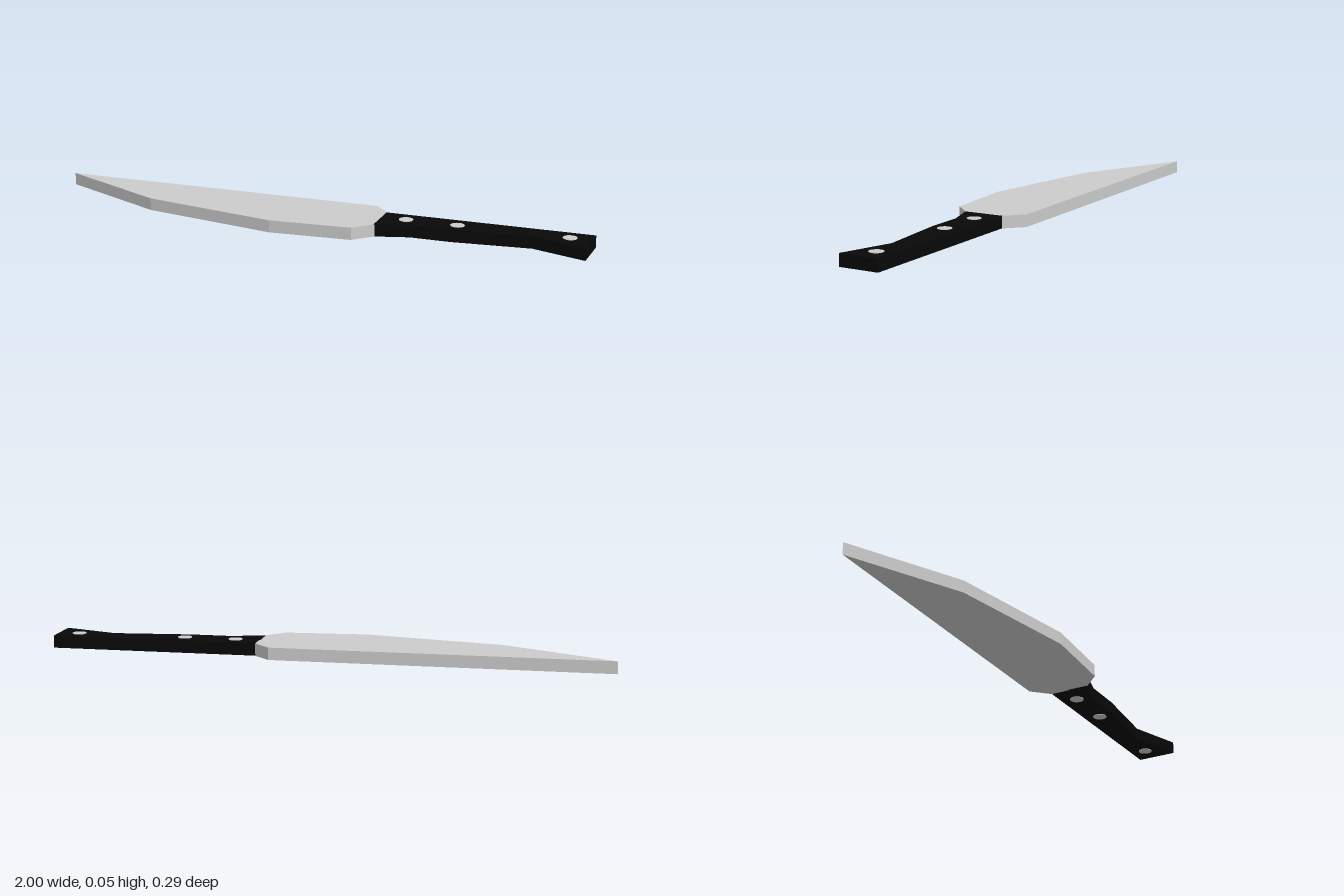
import * as THREE from 'three';

// Flat plate lying in the XZ plane, from an [x, z] outline
function plate(name, outline, y0, y1, material) {
  const shape = new THREE.Shape(outline.map(([x, z]) => new THREE.Vector2(x, -z)));
  const geometry = new THREE.ExtrudeGeometry(shape, { depth: y1 - y0, bevelEnabled: false });
  geometry.rotateX(-Math.PI / 2).translate(0, y0, 0);
  const mesh = new THREE.Mesh(geometry, material);
  mesh.name = name;
  return mesh;
}

export function createModel() {
  const knife = new THREE.Group();
  knife.name = 'knife';
  const steel = new THREE.MeshStandardMaterial({ color: 0xcccccc });
  const black = new THREE.MeshStandardMaterial({ color: 0x080808 });

  // Blade: straight spine at the back, faceted cutting edge at the front
  knife.add(plate('blade', [
    [-1, -0.145], [-0.595, 0.052], [-0.1, 0.145], [0.195, 0.125],
    [0.26, 0.06], [0.26, -0.085], [0.2, -0.145],
  ], 0.002, 0.046, steel));

  // Handle: straight back, finger grip and flared butt
  knife.add(plate('handle', [
    [0.255, 0.062], [0.375, 0.028], [0.52, 0.028], [0.8, 0],
    [0.996, 0.063], [1, -0.084], [0.255, -0.084],
  ], 0.002, 0.046, black));

  // Rivets pass right through and stand slightly proud on both faces
  const rivetGeometry = new THREE.CylinderGeometry(0.025, 0.025, 0.048, 32);
  for (const x of [0.345, 0.53, 0.923]) {
    const rivet = new THREE.Mesh(rivetGeometry, steel);
    rivet.name = 'rivet';
    rivet.position.set(x, 0.024, -0.026);
    knife.add(rivet);
  }
  return knife;
}
